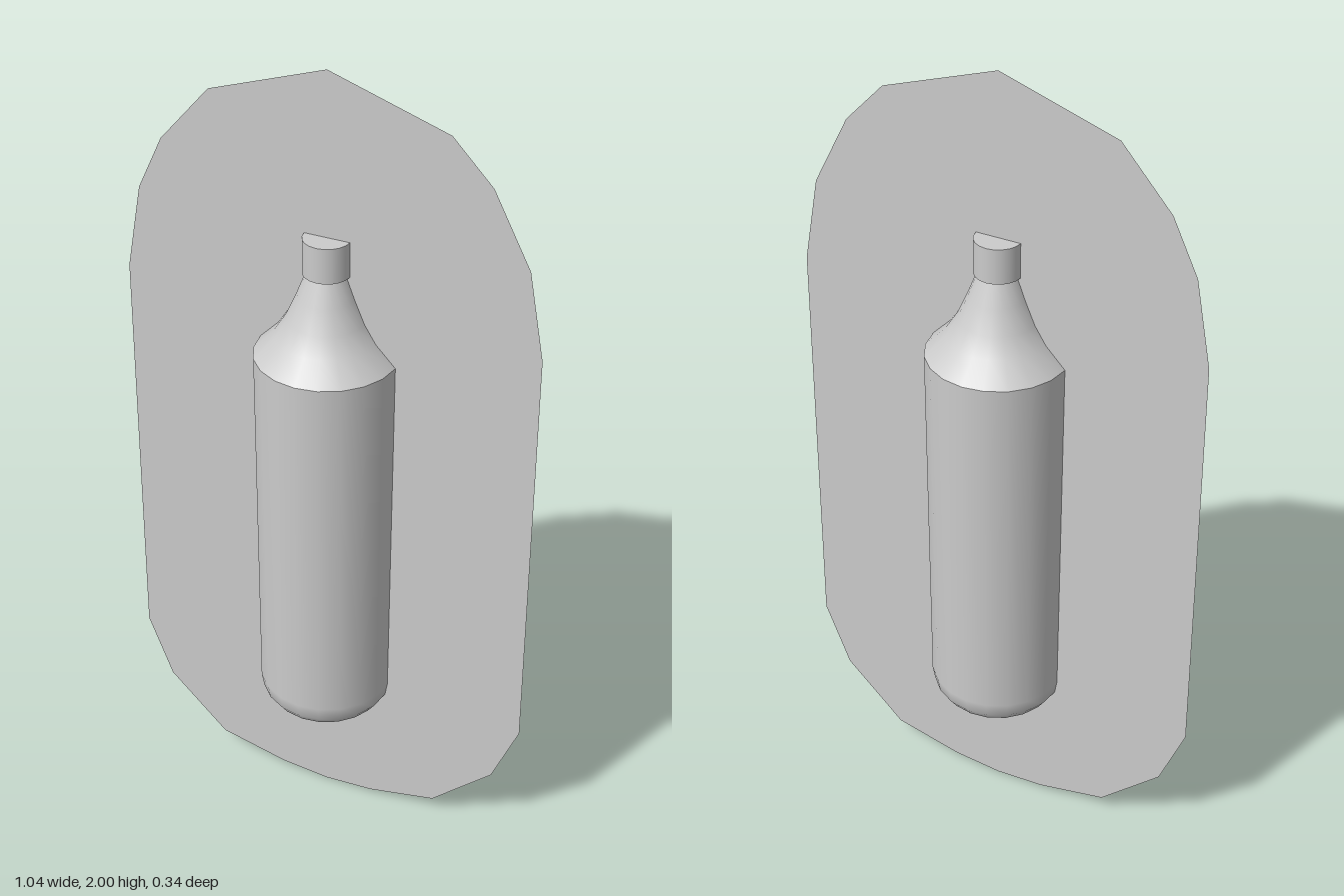
import * as THREE from 'three';

const SIDES = 20;
const material = new THREE.MeshStandardMaterial({ color: 0xcccccc });
const sheetMaterial = new THREE.MeshStandardMaterial({ color: 0xcccccc, side: THREE.DoubleSide });

// Surface of revolution from [radius, y] pairs, listed bottom to top
function turned(name, profile) {
  const points = profile.map(([r, y]) => new THREE.Vector2(r, y));
  const mesh = new THREE.Mesh(new THREE.LatheGeometry(points, SIDES), material);
  mesh.name = name;
  return mesh;
}

export function createModel() {
  const group = new THREE.Group();
  group.name = 'bottleOnSheet';

  // Bottle: separate sections keep the edges between them sharp
  const bottle = new THREE.Group();
  bottle.name = 'bottle';
  bottle.add(
    turned('body', [[0, 0.312], [0.09, 0.312], [0.12, 0.318], [0.145, 0.333],
      [0.162, 0.358], [0.168, 0.395], [0.168, 1.327]]),
    turned('shoulder', [[0.168, 1.327], [0.12, 1.376], [0.092, 1.42],
      [0.068, 1.475], [0.045, 1.535]])
  );
  const cap = new THREE.Mesh(new THREE.CylinderGeometry(0.055, 0.055, 0.085, SIDES), material);
  cap.name = 'cap';
  cap.position.y = 1.573;
  bottle.add(cap);
  group.add(bottle);

  // Thin upright sheet through the bottle's axis
  const outline = [
    [0, 2], [0.28, 1.908], [0.376, 1.81], [0.466, 1.64], [0.506, 1.433], [0.522, 0.368],
    [0.457, 0.2], [0.302, 0.05], [0.127, 0.01], [0, 0], [-0.127, 0.01], [-0.305, 0.05],
    [-0.459, 0.2], [-0.522, 0.368], [-0.506, 1.433], [-0.466, 1.64], [-0.403, 1.77], [-0.28, 1.908],
  ].map(([x, y]) => new THREE.Vector2(x, y));
  const sheet = new THREE.Mesh(new THREE.ShapeGeometry(new THREE.Shape(outline)), sheetMaterial);
  sheet.name = 'backingSheet';
  group.add(sheet);

  return group;
}
